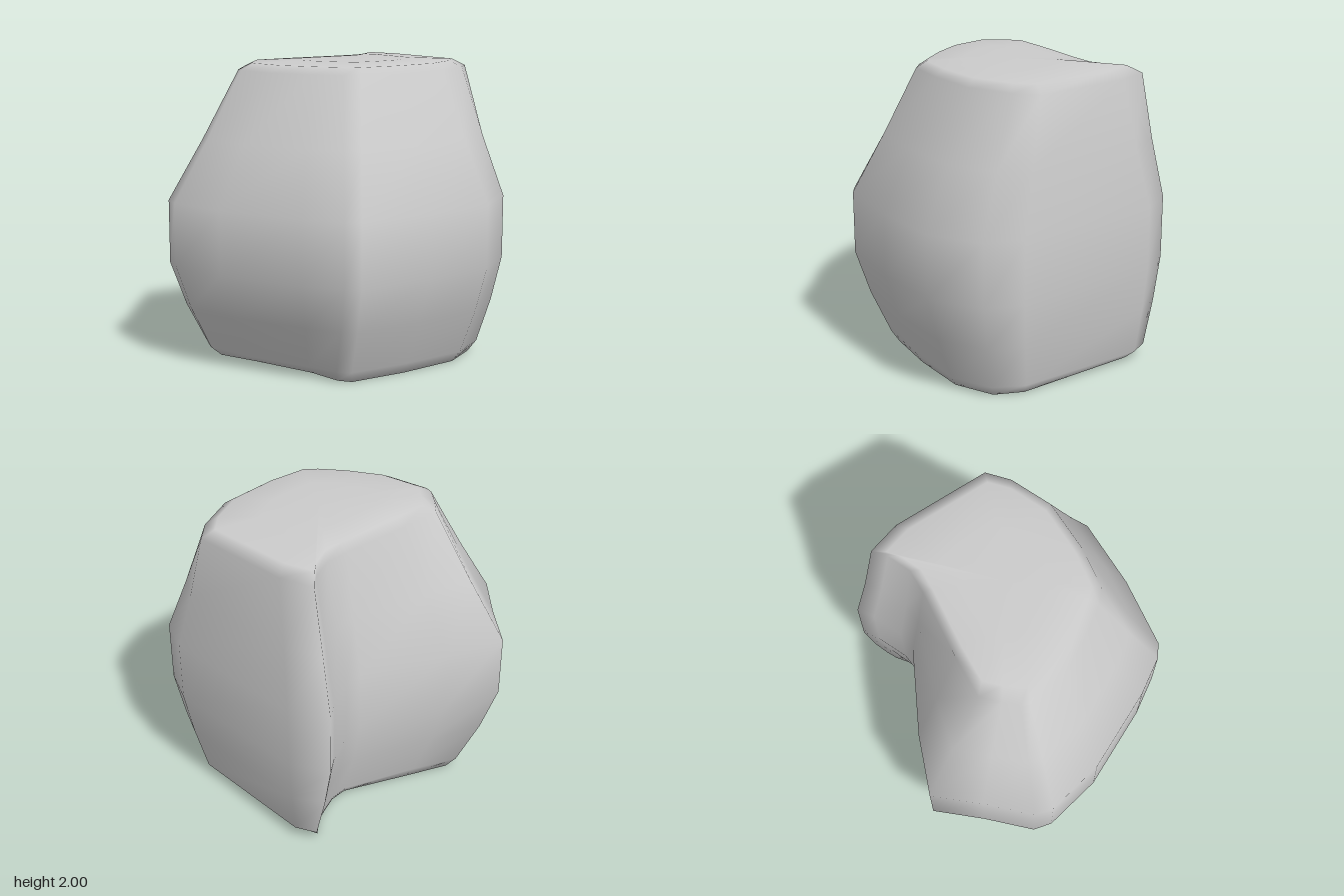
import * as THREE from 'three';
import { mergeVertices } from 'three/addons/utils/BufferGeometryUtils.js';

// Plan outlines [x, z], point for point: top edge, widest girth, bottom edge
const TOP = [
  [0.42, -0.82], [0.52, -0.68], [0.61, -0.4], [0.58, -0.05], [0.51, 0.23], [0.43, 0.3],
  [0.25, 0.41], [0, 0.52], [-0.27, 0.54], [-0.32, 0.52], [-0.4, 0.44], [-0.49, 0.33],
  [-0.45, 0.05], [-0.36, -0.4], [-0.34, -0.56], [-0.39, -0.72], [-0.45, -0.81], [-0.23, -0.86],
];
const GIRTH = [
  [0.62, -0.91], [0.84, -0.78], [1, -0.44], [0.95, 0.05], [0.84, 0.53], [0.77, 0.61],
  [0.53, 0.74], [-0.02, 0.95], [-0.42, 1], [-0.54, 0.96], [-0.76, 0.7], [-1, 0.45],
  [-0.82, 0.08], [-0.5, -0.43], [-0.5, -0.57], [-0.57, -0.78], [-0.63, -0.89], [-0.38, -1],
];
const BOTTOM = [
  [0.52, -0.82], [0.7, -0.7], [0.8, -0.42], [0.74, 0.02], [0.64, 0.42], [0.56, 0.48],
  [0.36, 0.54], [-0.05, 0.68], [-0.4, 0.74], [-0.48, 0.7], [-0.66, 0.52], [-0.79, 0.3],
  [-0.62, 0.02], [-0.38, -0.42], [-0.37, -0.55], [-0.42, -0.75], [-0.5, -0.88], [-0.36, -0.93],
];

// Rows from top to bottom: [height, outline, blend towards girth, scale about the axis]
const ROWS = [
  [2, TOP, 0, 0], [2, TOP, 0, 0.5], [1.985, TOP, 0, 0.9], [1.94, TOP, 0, 1.02],
  [1.5, TOP, 0.52, 1], [1.1, TOP, 1, 1], [0.68, BOTTOM, 1, 1], [0.38, BOTTOM, 0.58, 1],
  [0.08, BOTTOM, 0, 1], [0.03, BOTTOM, 0, 0.93], [0.02, BOTTOM, 0, 0.5], [0.02, BOTTOM, 0, 0],
];
const AXIS = [0.07, -0.13];

function rockGeometry() {
  const n = GIRTH.length;
  const positions = [];
  const index = [];
  for (const [y, outline, blend, scale] of ROWS) {
    for (let j = 0; j < n; j++) {
      const [x, z] = [0, 1].map((k) => {
        const v = THREE.MathUtils.lerp(outline[j][k], GIRTH[j][k], blend);
        return AXIS[k] + (v - AXIS[k]) * scale;
      });
      // the underside rises a little in the middle and sits on its rim
      const lift = y < 0.05 ? -0.03 * Math.cos(x * 5) * scale + 0.01 * (1 - scale) : 0;
      positions.push(x, Math.max(0, y - lift * (Math.abs(x) > 0.3 ? 1 : 0.3)), z);
    }
  }
  for (let i = 0; i < ROWS.length - 1; i++) {
    for (let j = 0; j < n; j++) {
      const k = (j + 1) % n;
      const a = i * n + j, b = i * n + k, c = a + n, d = b + n;
      if (ROWS[i][3] > 0) index.push(a, b, d);
      if (ROWS[i + 1][3] > 0) index.push(a, d, c);
    }
  }
  const geometry = new THREE.BufferGeometry();
  geometry.setAttribute('position', new THREE.Float32BufferAttribute(positions, 3));
  geometry.setIndex(index);
  const merged = mergeVertices(geometry, 1e-4);
  merged.computeVertexNormals();
  return merged;
}

export function createModel() {
  const group = new THREE.Group();
  group.name = 'boulder';
  const rock = new THREE.Mesh(rockGeometry(), new THREE.MeshStandardMaterial({ color: 0xcccccc }));
  rock.name = 'rock';
  group.add(rock);
  return group;
}
